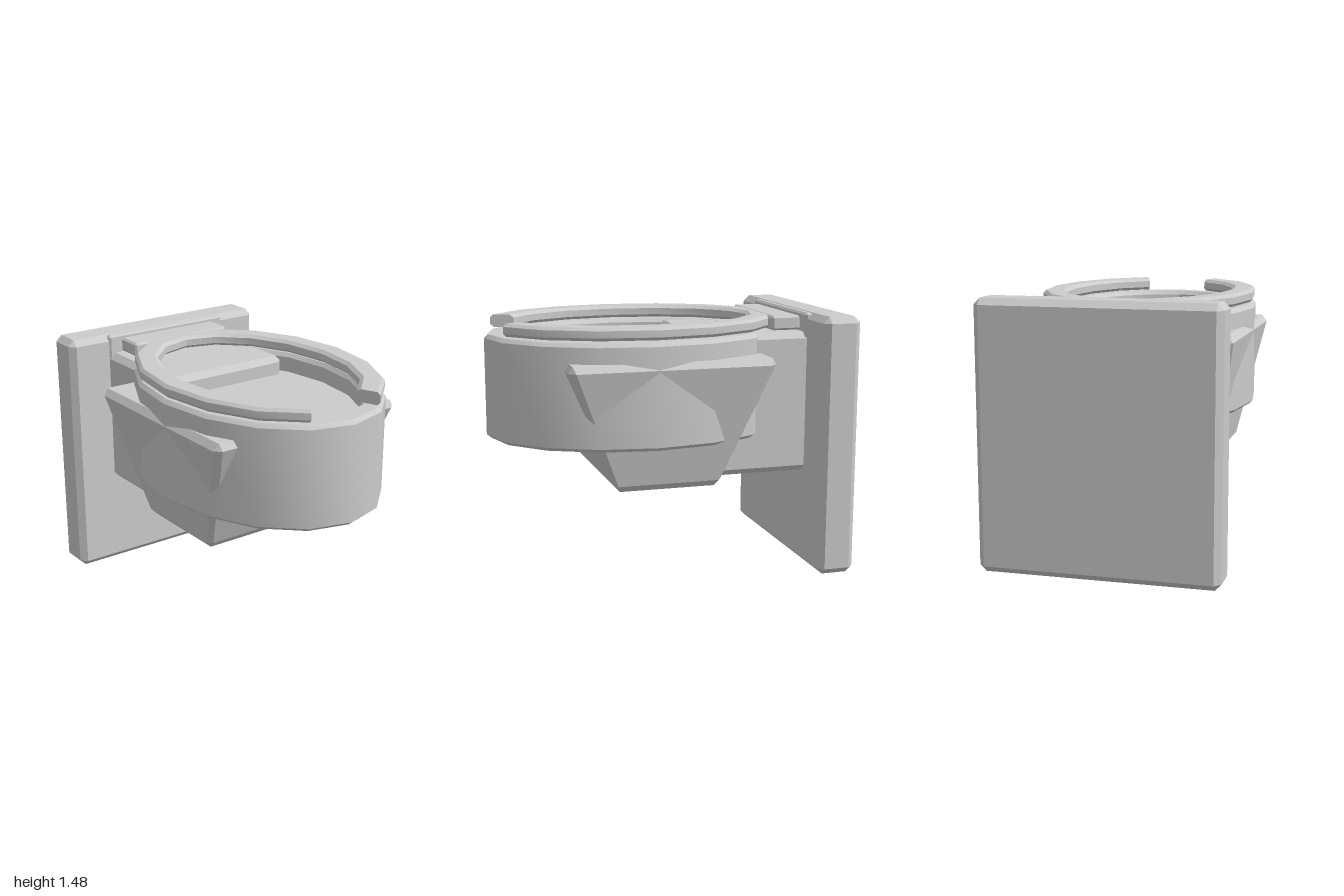
import * as THREE from 'three';
import { toCreasedNormals } from 'three/addons/utils/BufferGeometryUtils.js';
import { ConvexGeometry } from 'three/addons/geometries/ConvexGeometry.js';

const SIDES = 16;      // facets around the oval parts
const STRETCH = 0.23;  // extra length of the ovals along z
const CENTRE_Z = 0.15; // middle of the bowl and seat

const grey = new THREE.MeshStandardMaterial({ color: 0xcccccc });
const greyDouble = new THREE.MeshStandardMaterial({ color: 0xcccccc, side: THREE.DoubleSide });

function addMesh(group, name, geometry, material = grey) {
  const mesh = new THREE.Mesh(geometry, material);
  mesh.name = name;
  group.add(mesh);
  return mesh;
}

// Box with all edges bevelled by c; taper narrows it towards the bottom
function bevelBox([x0, x1], [y0, y1], [z0, z1], c, taper = null) {
  const mid = new THREE.Vector3((x0 + x1) / 2, (y0 + y1) / 2, (z0 + z1) / 2);
  const half = new THREE.Vector3((x1 - x0) / 2, (y1 - y0) / 2, (z1 - z0) / 2);
  const points = [];
  for (const sx of [-1, 1]) for (const sy of [-1, 1]) for (const sz of [-1, 1]) {
    for (let axis = 0; axis < 3; axis++) {
      const inset = half.clone().subScalar(c);
      inset.setComponent(axis, half.getComponent(axis));
      const p = inset.multiply(new THREE.Vector3(sx, sy, sz));
      if (taper) {
        const t = (half.y - c - p.y) / (2 * (half.y - c));
        p.x *= 1 - t * taper.x;
        p.z *= 1 - t * taper.z;
      }
      points.push(p.add(mid));
    }
  }
  return new ConvexGeometry(points);
}

// Turned profile lengthened into an oval by a constant amount
function ovalLathe(profile, start = 0, length = Math.PI * 2, segments = SIDES) {
  const geometry = new THREE.LatheGeometry(profile.map(([r, y]) => new THREE.Vector2(r, y)), segments, start, length);
  const pos = geometry.attributes.position;
  for (let i = 0; i < pos.count; i++) {
    const x = pos.getX(i), z = pos.getZ(i), r = Math.hypot(x, z);
    if (r > 1e-4) pos.setZ(i, z + STRETCH * z / r);
  }
  return toCreasedNormals(geometry, 0.55);
}

// Flat cap that closes the seat profile at the given angle
function seatCap(profile, angle) {
  const geometry = new THREE.ShapeGeometry(new THREE.Shape(profile.map(([r, y]) => new THREE.Vector2(r, y))));
  const pos = geometry.attributes.position;
  for (let i = 0; i < pos.count; i++) {
    const r = pos.getX(i), y = pos.getY(i);
    pos.setXYZ(i, r * Math.sin(angle), y, (r + STRETCH) * Math.cos(angle));
  }
  geometry.computeVertexNormals();
  return geometry;
}

export function createModel() {
  const model = new THREE.Group();
  model.name = 'wallToilet';

  // Upright panel and the arm that carries the bowl
  addMesh(model, 'wallPanel', bevelBox([-0.665, 0.665], [0, 1.48], [-1, -0.78], 0.036));
  addMesh(model, 'supportArm', bevelBox([-0.408, 0.408], [0.56, 1.37], [-0.84, -0.125], 0.035));

  // Tapered basin whose corners stand out through the bowl
  addMesh(model, 'basin', bevelBox([-0.62, 0.62], [0.525, 1.26], [-0.525, 0.645], 0.038, { x: 0.215, z: 0.47 }));

  // Oval bowl: underside, bevelled wall, rim, inner wall and floor
  const bowl = addMesh(model, 'bowl', ovalLathe([
    [0, 0.78], [0.595, 0.78], [0.618, 0.8], [0.618, 1.35], [0.597, 1.372],
    [0.51, 1.372], [0.49, 1.35], [0.49, 0.82], [0, 0.82],
  ]));
  bowl.position.z = CENTRE_Z;

  // Open-fronted seat
  const seatProfile = [
    [0.495, 1.383], [0.592, 1.383], [0.61, 1.4], [0.61, 1.438],
    [0.592, 1.455], [0.495, 1.455], [0.473, 1.438], [0.473, 1.4], [0.495, 1.383],
  ];
  const gap = Math.PI * 2 / SIDES;
  const seat = new THREE.Group();
  seat.name = 'seat';
  seat.position.z = CENTRE_Z;
  addMesh(seat, 'seatRing', ovalLathe(seatProfile, gap, Math.PI * 2 - 2 * gap, SIDES - 2));
  for (const side of [-1, 1]) {
    addMesh(seat, side > 0 ? 'leftSeatEnd' : 'rightSeatEnd', seatCap(seatProfile.slice(0, -1), side * gap), greyDouble);
  }
  model.add(seat);

  // Hinge block behind the seat and the bar along the panel
  addMesh(model, 'hingeBlock', bevelBox([-0.33, 0.33], [1.375, 1.457], [-0.77, -0.6], 0.012));
  addMesh(model, 'rearBar', bevelBox([-0.41, 0.41], [1.3, 1.478], [-0.818, -0.77], 0.012));

  return model;
}
